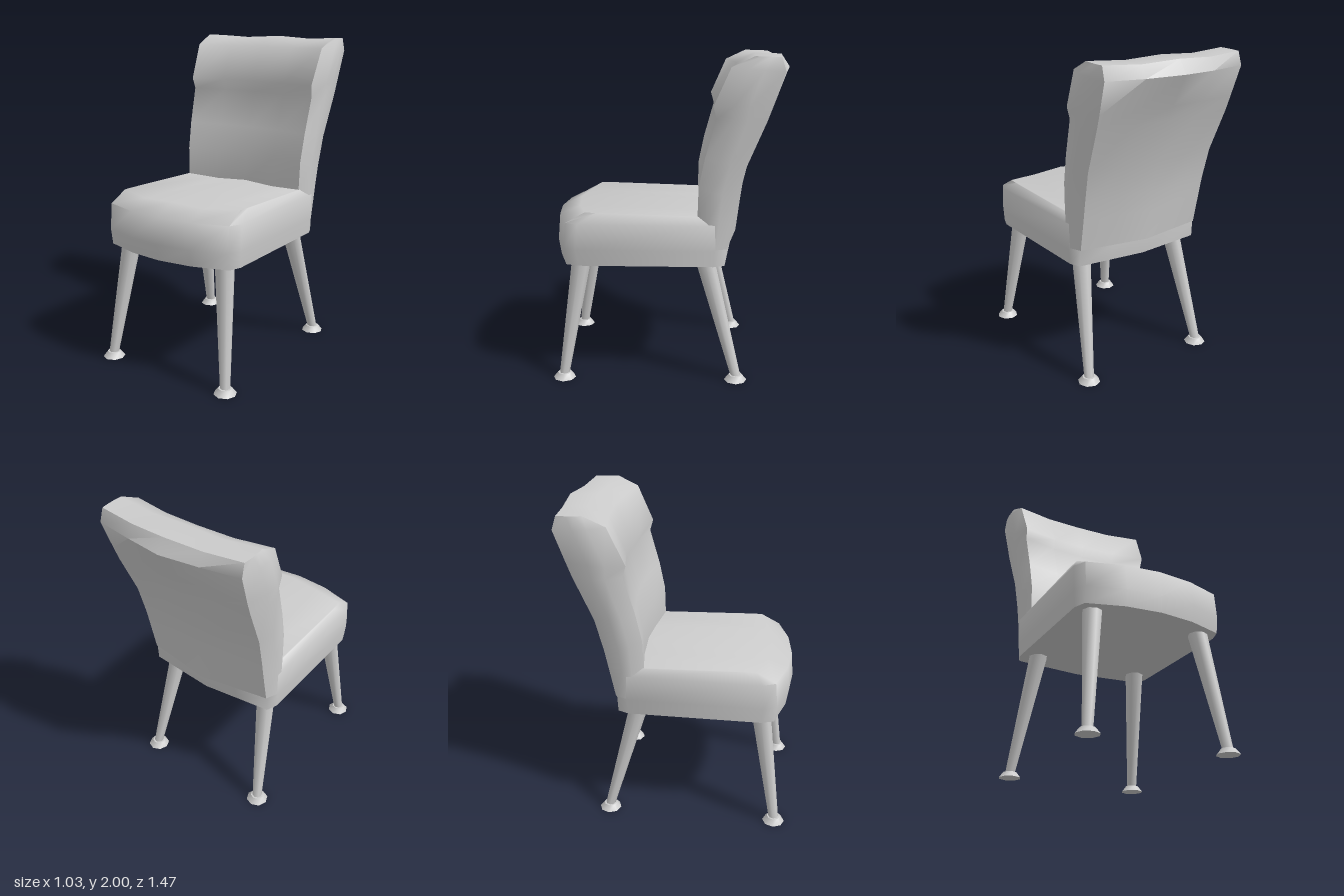
import * as THREE from 'three';
import { toCreasedNormals } from 'three/addons/utils/BufferGeometryUtils.js';

const material = new THREE.MeshStandardMaterial({ color: 0xcccccc });
const mix = THREE.MathUtils.lerp;

// One outline of a cushion. front/back: [halfWidth, y, z, bow]; side: [halfWidth, t1, t2]
// where t runs from the front edge (0) to the back edge (1).
function ring(front, side, back, dip = 0) {
  const us = [-1, -0.5, 0, 0.5, 1];
  const edge = ([x, y, z, bow], curve) =>
    us.map((u) => [u * x, y - (Math.abs(u) === 0.5 ? dip : 0), z + bow * curve(u)]);
  const sidePoint = (s, t) => [s * side[0], mix(front[1], back[1], t), mix(front[2], back[2], t)];
  return [
    ...edge(front, (u) => 1 - u * u),
    sidePoint(1, side[1]), sidePoint(1, side[2]),
    ...edge(back, (u) => 1 - Math.abs(u)).reverse(),
    sidePoint(-1, side[2]), sidePoint(-1, side[1]),
  ];
}

// Closed cushion through outlines stacked from bottom to top
function loft(rings, crease) {
  const n = rings[0].length, index = [];
  const quad = (a, b, c, d) => index.push(a, b, c, a, c, d);
  for (let r = 0; r < rings.length - 1; r++) {
    for (let i = 0; i < n; i++) {
      const j = (i + 1) % n;
      quad(r * n + i, r * n + j, (r + 1) * n + j, (r + 1) * n + i);
    }
  }
  const top = (rings.length - 1) * n;
  const caps = [[4, 5, 6, 7], [11, 12, 13, 0]];
  for (let i = 0; i < 4; i++) caps.push([i, i + 1, 10 - i, 11 - i]);
  for (const [a, b, c, d] of caps) {
    quad(top + a, top + b, top + c, top + d);
    quad(d, c, b, a);
  }
  const geometry = new THREE.BufferGeometry();
  geometry.setAttribute('position', new THREE.Float32BufferAttribute(rings.flat(2), 3));
  geometry.setIndex(index);
  return toCreasedNormals(geometry, crease);
}

function addMesh(parent, name, geometry) {
  const mesh = new THREE.Mesh(geometry, material);
  mesh.name = name;
  parent.add(mesh);
  return mesh;
}

// Tapered leg leaning from its top centre to its foot, with level ends
function leg(name, top, bottom) {
  const group = new THREE.Group();
  group.name = name;
  const height = top.y - bottom.y;
  const shaft = new THREE.CylinderGeometry(0.06, 0.031, height, 8);
  const p = shaft.attributes.position;
  for (let i = 0; i < p.count; i++) {
    const t = p.getY(i) / height + 0.5;
    p.setXYZ(i, p.getX(i) + mix(bottom.x, top.x, t), mix(bottom.y, top.y, t), p.getZ(i) + mix(bottom.z, top.z, t));
  }
  addMesh(group, 'legShaft', toCreasedNormals(shaft, 0.9));
  const foot = new THREE.CylinderGeometry(0.042, 0.07, 0.035, 8);
  addMesh(group, 'footPad', toCreasedNormals(foot, 0.9)).position.set(bottom.x, 0.0175, bottom.z);
  return group;
}

export function createModel() {
  const chair = new THREE.Group();
  chair.name = 'chair';

  // Seat cushion with a bowed front and a rounded upper rim
  addMesh(chair, 'seat', loft([
    ring([0.44, 0.75, 0.63, 0.09], [0.467, 0.08, 0.93], [0.44, 0.75, -0.33, -0.046]),
    ring([0.44, 0.85, 0.645, 0.09], [0.476, 0.08, 0.93], [0.44, 0.85, -0.335, -0.055]),
    ring([0.44, 1.01, 0.63, 0.09], [0.475, 0.08, 0.93], [0.44, 1.01, -0.335, -0.05]),
    ring([0.435, 1.075, 0.51, 0.08], [0.44, 0.08, 0.93], [0.43, 1.05, -0.33, -0.04], 0.012),
  ], 1.12));

  // Backrest: front edge, widest side and back edge of each row, bottom to top
  const rows = [
    [[0.432, 0.86, -0.18, -0.04], 0.472, [0.44, 0.855, -0.342, -0.072]],
    [[0.435, 1.05, -0.165, -0.045], 0.475, [0.443, 1.05, -0.38, -0.058]],
    [[0.44, 1.235, -0.17, -0.045], 0.48, [0.446, 1.17, -0.403, -0.052]],
    [[0.447, 1.41, -0.206, -0.05], 0.489, [0.455, 1.365, -0.45, -0.05]],
    [[0.456, 1.64, -0.27, -0.05], 0.503, [0.47, 1.63, -0.56, -0.026]],
    [[0.462, 1.71, -0.25, -0.055], 0.506, [0.474, 1.72, -0.592, -0.035]],
    [[0.475, 1.935, -0.35, -0.05], 0.515, [0.485, 1.91, -0.655, -0.075], 0.004],
    [[0.483, 1.995, -0.48, -0.03], 0.487, [0.482, 1.99, -0.63, -0.046], 0.012],
  ];
  addMesh(chair, 'backrest', loft(
    rows.map(([front, x, back, dip]) => ring(front, [x, 0.32, 0.6], back, dip)), 0.85));

  // Splayed legs
  for (const [side, s] of [['Left', 1], ['Right', -1]]) {
    chair.add(leg('front' + side + 'Leg',
      new THREE.Vector3(s * 0.353, 0.77, 0.548), new THREE.Vector3(s * 0.434, 0.03, 0.665)));
    chair.add(leg('back' + side + 'Leg',
      new THREE.Vector3(s * 0.353, 0.77, -0.21), new THREE.Vector3(s * 0.434, 0.03, -0.41)));
  }
  return chair;
}
